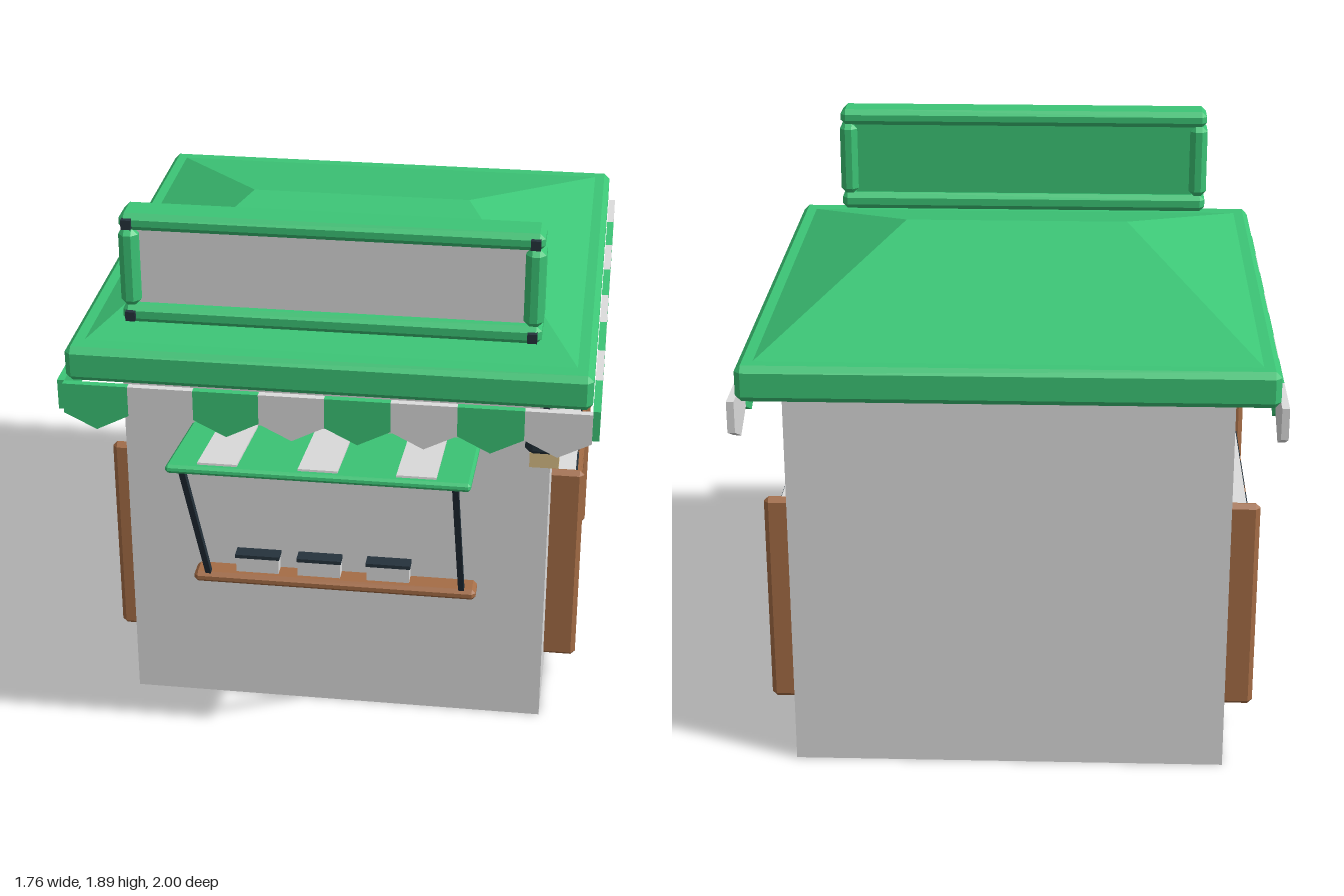
import * as THREE from 'three';
import { ConvexGeometry } from 'three/addons/geometries/ConvexGeometry.js';

const material = (name, color) => {
  const m = new THREE.MeshStandardMaterial({ color });
  m.name = name;
  return m;
};

// Box with chamfered edges
function chamferBox(w, h, d, c) {
  const pts = [];
  for (const x of [-1, 1]) for (const y of [-1, 1]) for (const z of [-1, 1]) {
    const [a, b, e] = [w / 2, h / 2, d / 2];
    pts.push(new THREE.Vector3(x * a, y * (b - c), z * (e - c)));
    pts.push(new THREE.Vector3(x * (a - c), y * b, z * (e - c)));
    pts.push(new THREE.Vector3(x * (a - c), y * (b - c), z * e));
  }
  return new ConvexGeometry(pts);
}

// Awning panel with a pointed lower edge, hanging from y = 0
function scallop(width) {
  const w = width / 2;
  const shape = new THREE.Shape([[-w, 0], [-w, -0.105], [0, -0.16], [w, -0.105], [w, 0]]
    .map(([x, y]) => new THREE.Vector2(x, y)));
  return new THREE.ExtrudeGeometry(shape, { depth: 0.024, bevelEnabled: false }).translate(0, 0, -0.012);
}

export function createModel() {
  const white = material('white', 0xdcdcdc);
  const green = material('green', 0x3cc576);
  const brown = material('wood', 0xa56d46);
  const dark = material('dark', 0x25323c);
  const beige = material('beige', 0xdcc088);

  const model = new THREE.Group();
  model.name = 'kiosk';
  const group = (name, parent = model) => {
    const g = new THREE.Group();
    g.name = name;
    parent.add(g);
    return g;
  };
  const put = (parent, name, geometry, mat, x = 0, y = 0, z = 0) => {
    const mesh = new THREE.Mesh(geometry, mat);
    mesh.name = name;
    mesh.position.set(x, y, z);
    parent.add(mesh);
    return mesh;
  };
  // Box given by its limits on each axis, optionally chamfered
  const span = (parent, name, mat, [x0, x1], [y0, y1], [z0, z1], c = 0) => {
    const size = [x1 - x0, y1 - y0, z1 - z0];
    const geometry = c ? chamferBox(...size, c) : new THREE.BoxGeometry(...size);
    return put(parent, name, geometry, mat, (x0 + x1) / 2, (y0 + y1) / 2, (z0 + z1) / 2);
  };

  // Walls
  span(model, 'walls', white, [-0.722, 0.722], [0, 1.345], [-0.89, 0.56]);

  // Roof: chamfered slab with a hipped top
  const roof = group('roof');
  span(roof, 'roofSlab', green, [-0.855, 0.855], [1.34, 1.46], [-1, 0.8], 0.02);
  const hip = [[-0.38, 1.675, -0.11], [0.38, 1.675, -0.11]];
  for (const x of [-0.81, 0.81]) for (const z of [-0.96, 0.745]) hip.push([x, 1.455, z]);
  put(roof, 'hippedTop', new ConvexGeometry(hip.map((p) => new THREE.Vector3(...p))), green);

  // Striped valance along the front and both sides
  const valance = group('valance');
  const frontPanel = scallop(0.2145);
  const sidePanel = scallop(0.225);
  for (let i = 0; i < 8; i++) {
    const mat = i % 2 ? white : green;
    put(valance, 'frontScallop', frontPanel, mat, -0.858 + 0.2145 * (i + 0.5), 1.345, 0.812);
    for (const s of [-1, 1]) {
      put(valance, 'sideScallop', sidePanel, mat, s * 0.869, 1.345, 0.8 - 0.225 * (i + 0.5))
        .rotation.y = Math.PI / 2;
    }
  }

  // Sign board on the roof
  const sign = group('signBoard');
  span(sign, 'topRail', green, [-0.68, 0.68], [1.832, 1.89], [0.56, 0.688], 0.018);
  span(sign, 'bottomRail', green, [-0.68, 0.68], [1.51, 1.572], [0.56, 0.688], 0.018);
  span(sign, 'backing', green, [-0.63, 0.63], [1.56, 1.84], [0.585, 0.645]);
  span(sign, 'blankFace', white, [-0.63, 0.63], [1.56, 1.84], [0.645, 0.652]);
  for (const s of [-1, 1]) {
    put(sign, 'sidePost', chamferBox(0.064, 0.268, 0.132, 0.02), green, s * 0.652, 1.702, 0.624);
    for (const y of [1.86, 1.54]) {
      put(sign, 'bolt', new THREE.BoxGeometry(0.032, 0.032, 0.03), dark, s * 0.651, y, 0.688);
    }
  }

  // Lifted serving hatch with white stripes
  const hatch = group('servingHatch');
  hatch.position.set(0, 1.115, 0.778);
  hatch.rotation.x = -0.158;
  put(hatch, 'hatchPanel', chamferBox(0.98, 0.028, 0.45, 0.009), green);
  for (const x of [-0.325, 0, 0.315]) {
    put(hatch, 'whiteStripe', new THREE.BoxGeometry(0.128, 0.008, 0.4), white, x, 0.017, 0);
  }

  // Counter with struts and small boxes
  const counter = group('counter');
  span(counter, 'counterBoard', brown, [-0.49, 0.49], [0.5, 0.54], [0.54, 0.635], 0.013);
  const low = new THREE.Vector3(0, 0.53, 0.612);
  const high = new THREE.Vector3(0, 1.135, 0.972);
  const along = high.clone().sub(low);
  for (const x of [-0.44, 0.44]) {
    const strut = put(counter, 'strut', new THREE.BoxGeometry(0.02, along.length(), 0.02), dark);
    strut.position.copy(low).add(high).multiplyScalar(0.5).setX(x);
    strut.rotation.x = Math.atan2(along.z, along.y);
  }
  for (const x of [-0.27, -0.055, 0.185]) {
    span(counter, 'smallBox', white, [x - 0.074, x + 0.074], [0.538, 0.597], [0.55, 0.608]);
    span(counter, 'smallBoxLid', dark, [x - 0.077, x + 0.077], [0.595, 0.608], [0.55, 0.611]);
  }

  // Hanging lamp at the front corner
  const lamp = group('lamp');
  span(lamp, 'lampStem', dark, [0.695, 0.715], [1.18, 1.345], [0.645, 0.665]);
  span(lamp, 'lampCap', dark, [0.675, 0.735], [1.18, 1.208], [0.624, 0.686]);
  span(lamp, 'lampHousing', dark, [0.642, 0.768], [1.12, 1.192], [0.592, 0.718], 0.025);
  span(lamp, 'lampGlass', beige, [0.658, 0.754], [1.078, 1.13], [0.607, 0.703]);

  // Shelving racks on both side walls
  for (const s of [-1, 1]) {
    const rack = group(s > 0 ? 'leftRack' : 'rightRack');
    for (const z of [0.31, -0.64]) {
      put(rack, 'upright', chamferBox(0.14, 0.76, 0.036, 0.016), brown, s * 0.765, 0.48, z);
    }
    for (const y of [0.27, 0.485, 0.7]) {
      put(rack, 'shelf', new THREE.BoxGeometry(0.12, 0.024, 0.94), brown, s * 0.76, y - 0.012, -0.165);
      put(rack, 'crate', new THREE.BoxGeometry(0.1, 0.08, 0.86), white, s * 0.752, y + 0.04, -0.167);
      for (const z of [0.11, -0.168, -0.446]) {
        put(rack, 'cratePlate', new THREE.BoxGeometry(0.008, 0.027, 0.22), dark, s * 0.804, y + 0.052, z);
      }
    }
  }
  return model;
}
